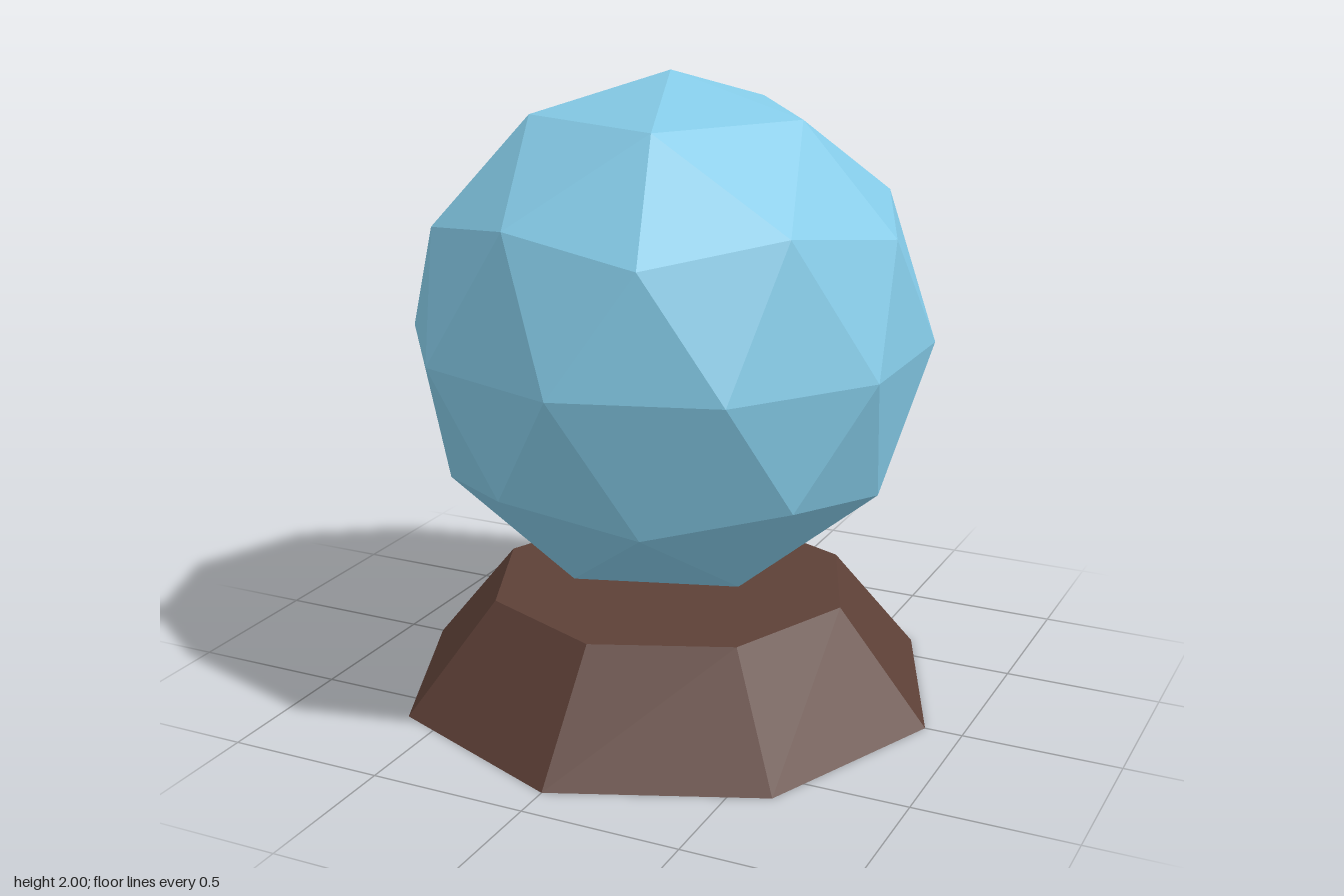
import * as THREE from 'three';

export function createModel() {
  const group = new THREE.Group();
  group.name = 'crystalBall';

  const glassBlue = new THREE.MeshStandardMaterial({ color: 0x87ceeb });
  glassBlue.name = 'glass blue';
  glassBlue.flatShading = true;
  const darkWood = new THREE.MeshStandardMaterial({ color: 0x5d4037 });
  darkWood.name = 'dark wood';
  darkWood.flatShading = true;

  const baseHeight = 0.354;
  const radius = 0.823;

  // Tapered eight-sided base with a corner on each axis
  const base = new THREE.Mesh(
    new THREE.CylinderGeometry(0.588, 0.88, baseHeight, 8), darkWood);
  base.name = 'base';
  base.position.y = baseHeight / 2;
  group.add(base);

  // Faceted ball, turned so that one icosahedron corner points straight up
  const ballGeometry = new THREE.IcosahedronGeometry(radius, 1);
  ballGeometry.rotateZ(-Math.atan(2 / (1 + Math.sqrt(5))));
  const ball = new THREE.Mesh(ballGeometry, glassBlue);
  ball.name = 'ball';
  ball.position.y = baseHeight + radius;
  group.add(ball);

  return group;
}
